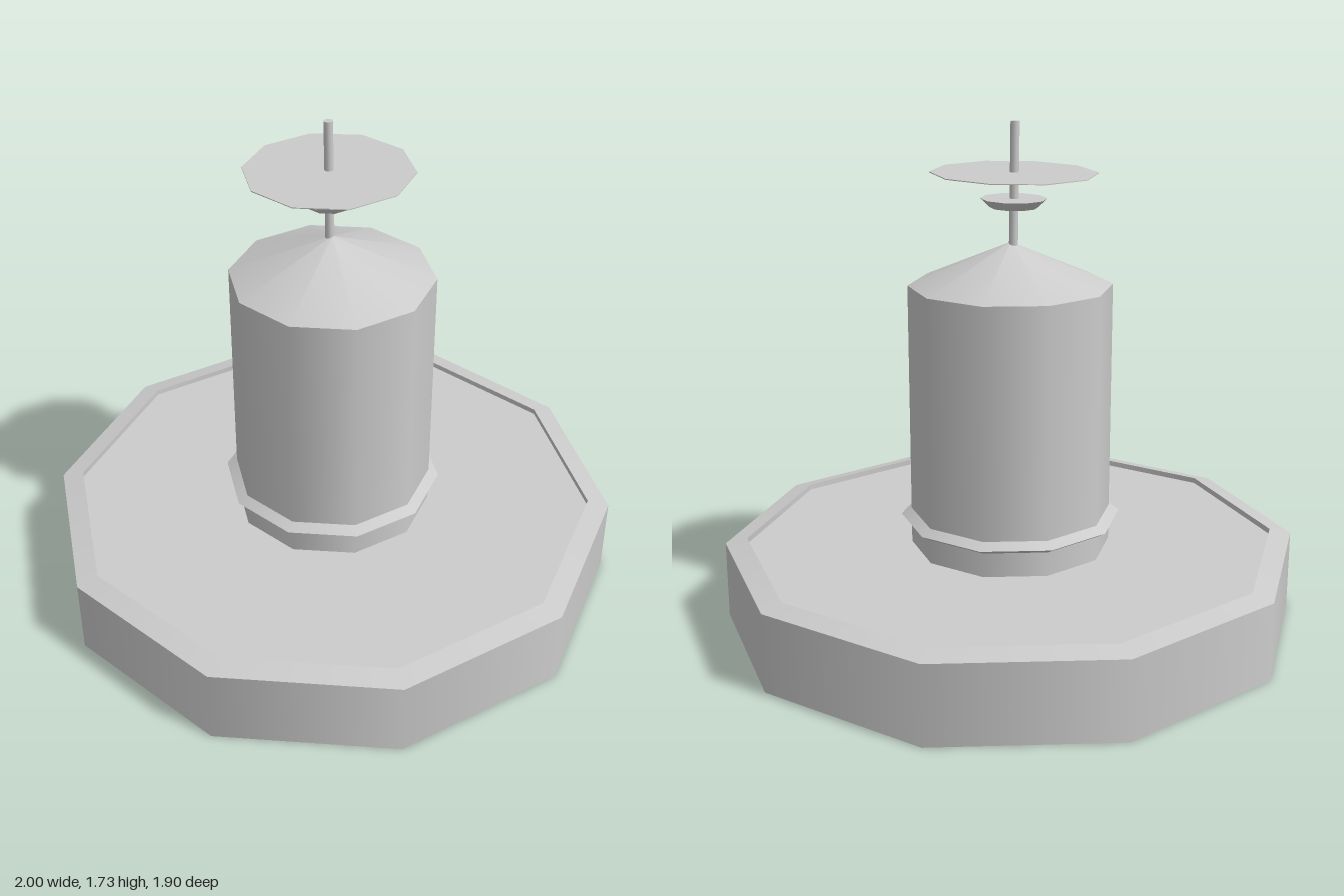
import * as THREE from 'three';

const SIDES = 10;
const grey = new THREE.MeshStandardMaterial({ color: 0xcccccc });
const greyDouble = new THREE.MeshStandardMaterial({ color: 0xcccccc, side: THREE.DoubleSide });

// Ten-sided band between two heights, with a corner on the x axis.
function band(parent, name, rBottom, rTop, y0, y1, open = true, material = grey) {
  const geometry = new THREE.CylinderGeometry(rTop, rBottom, y1 - y0, SIDES, 1, open, Math.PI / 2);
  const mesh = new THREE.Mesh(geometry, material);
  mesh.name = name;
  mesh.position.y = (y0 + y1) / 2;
  parent.add(mesh);
}

// Flat ten-sided plate, facing up or down.
function plate(parent, name, radius, y, up) {
  const mesh = new THREE.Mesh(new THREE.CircleGeometry(radius, SIDES), grey);
  mesh.name = name;
  mesh.rotation.x = up ? -Math.PI / 2 : Math.PI / 2;
  mesh.position.y = y;
  parent.add(mesh);
}

export function createModel() {
  const model = new THREE.Group();
  model.name = 'tieredTower';

  // Wide basin with a sloping rim and a slightly sunken floor
  const basin = new THREE.Group();
  basin.name = 'basin';
  band(basin, 'basinWall', 1, 1, 0, 0.271);
  band(basin, 'basinRim', 1, 0.925, 0.271, 0.288);
  band(basin, 'basinInnerWall', 0.925, 0.925, 0.268, 0.288, true, greyDouble);
  plate(basin, 'basinFloor', 0.925, 0.268, true);
  plate(basin, 'basinUnderside', 1, 0, false);
  model.add(basin);

  // Column with a pointed roof and a collar near its foot
  const column = new THREE.Group();
  column.name = 'column';
  band(column, 'columnWall', 0.347, 0.347, 0.268, 1.187);
  band(column, 'columnRoof', 0.347, 0, 1.187, 1.333);
  band(column, 'collarLower', 0.347, 0.382, 0.352, 0.372);
  band(column, 'collarUpper', 0.382, 0.347, 0.372, 0.393);
  model.add(column);

  // Slightly leaning mast carrying a small saucer and a thin disc
  const mast = new THREE.Group();
  mast.name = 'mast';
  mast.position.set(-0.01, 1.3, 0);
  mast.rotation.z = 0.0155;
  band(mast, 'mastPole', 0.015, 0.015, 0, 0.434, false);
  band(mast, 'mastSaucer', 0.08, 0.112, 0.15, 0.18, false);
  band(mast, 'mastDisc', 0.28, 0.28, 0.264, 0.267, false);
  model.add(mast);

  return model;
}
